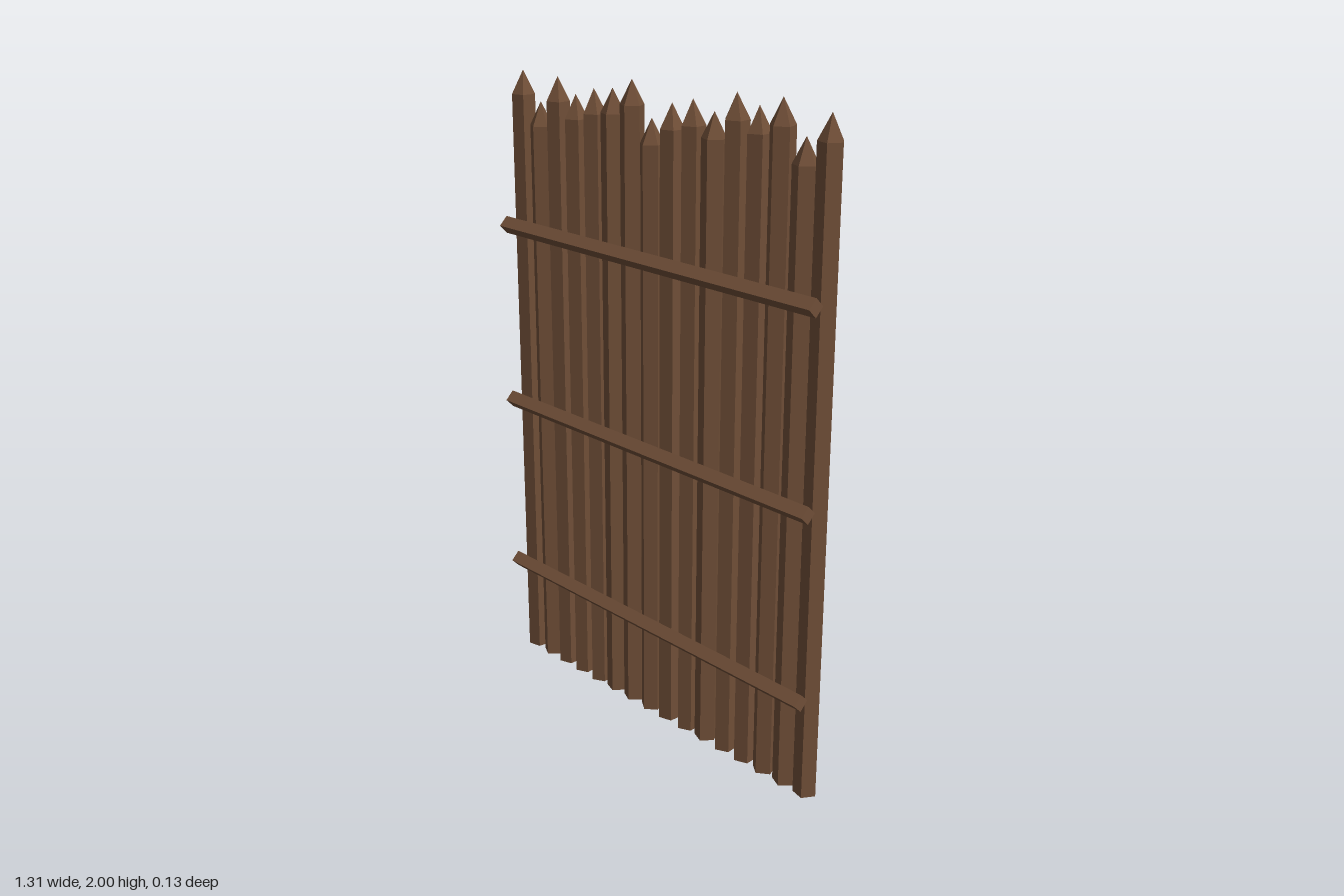
import * as THREE from 'three';
import { mergeGeometries } from 'three/addons/utils/BufferGeometryUtils.js';

const SIDES = 5, RADIUS = 0.037, TIP = 0.072;

// Total height and turn about y of every stake, from -x to +x
const STAKES = [
  [1.967, -0.4], [1.88, 0.15], [1.963, -0.3], [1.92, -0.22],
  [1.945, -0.15], [1.955, 0.3], [1.988, 0.2], [1.888, 0.05],
  [1.94, -0.35], [1.96, -0.2], [1.935, 0.25], [1.995, -0.2],
  [1.97, -0.25], [2.0, 0.0], [1.91, 0.2], [1.98, 0.4 - Math.PI / 2.5],
];

// Five-sided log with a pointed top, open between shaft and tip
function stakeGeometry(height) {
  const shaftHeight = height - TIP;
  const shaft = new THREE.CylinderGeometry(RADIUS, RADIUS, shaftHeight, SIDES, 1, true);
  shaft.translate(0, shaftHeight / 2, 0);
  const tip = new THREE.ConeGeometry(RADIUS, TIP, SIDES, 1, true);
  tip.translate(0, shaftHeight + TIP / 2, 0);
  const base = new THREE.CircleGeometry(RADIUS, SIDES);
  base.rotateX(Math.PI / 2);
  base.rotateY(Math.PI / 2);
  return mergeGeometries([shaft, tip, base]);
}

export function createModel() {
  const model = new THREE.Group();
  model.name = 'palisadeWall';
  const wood = new THREE.MeshStandardMaterial({ color: 0x6f4e37, flatShading: true });
  wood.name = 'brownWood';

  // Row of sharpened stakes
  const stakes = new THREE.Group();
  stakes.name = 'stakes';
  STAKES.forEach(([height, turn], i) => {
    const stake = new THREE.Mesh(stakeGeometry(height), wood);
    stake.name = `stake${i + 1}`;
    stake.position.set(-0.62 + (1.24 * i) / (STAKES.length - 1), 0, -0.027);
    stake.rotation.y = turn;
    stakes.add(stake);
  });
  model.add(stakes);

  // Square cross rails set on edge, in front of the stakes
  const side = 0.027 * Math.SQRT2;
  const railGeometry = new THREE.BoxGeometry(1.29, side, side).rotateX(Math.PI / 4);
  [0.333, 0.912, 1.492].forEach((y, i) => {
    const rail = new THREE.Mesh(railGeometry, wood);
    rail.name = `crossRail${i + 1}`;
    rail.position.set(0, y, 0.036);
    model.add(rail);
  });
  return model;
}
